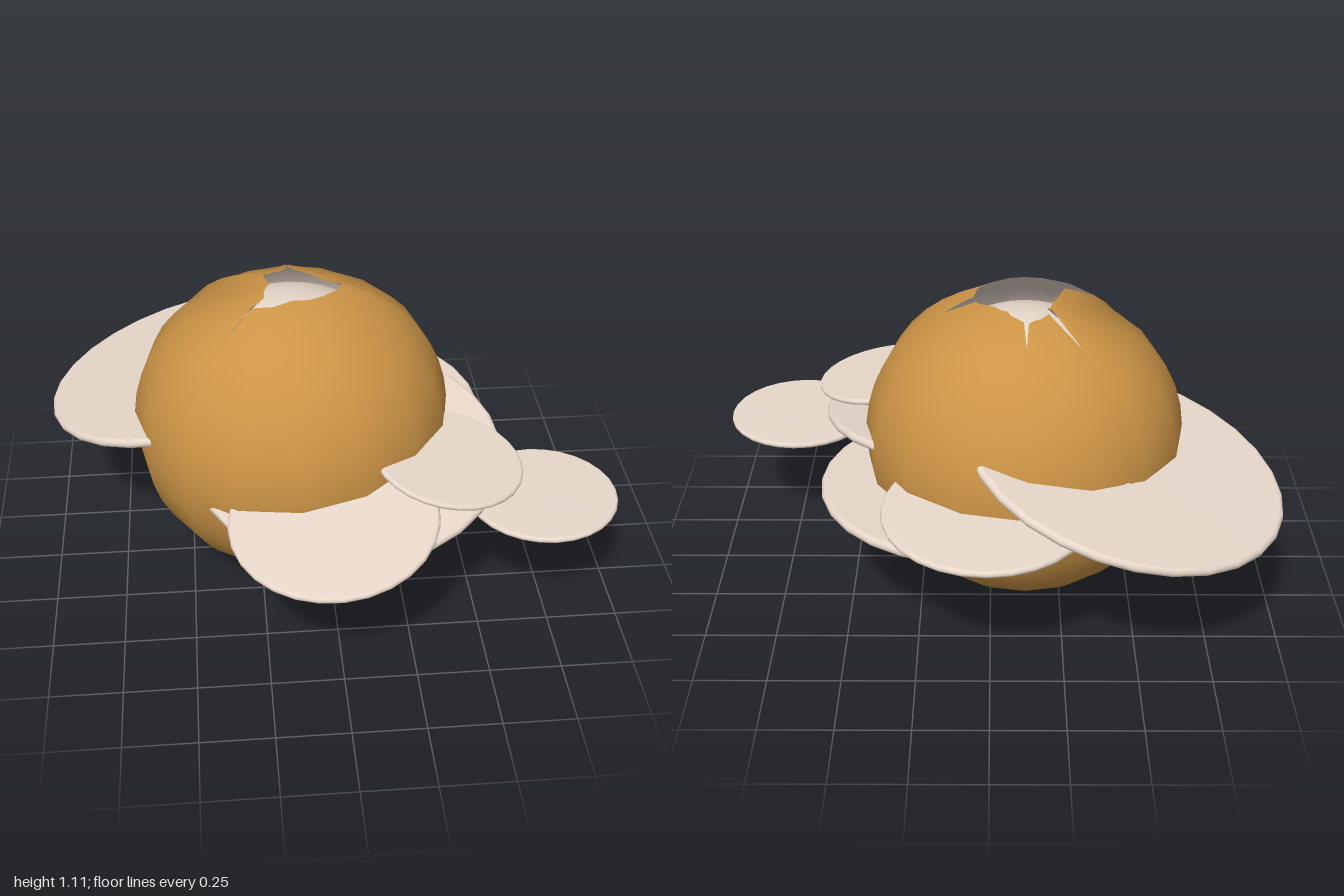
import * as THREE from 'three';

const CENTRE = [-0.12, 0.565, -0.05];
const RADIUS = 0.565;

// Torn rim of the opening: [angle in degrees, distance from the axis]; long distances are crack tips
const RIM = [
  [-10, 0.165], [-5, 0.18], [-2, 0.29], [1, 0.18], [16, 0.177], [40, 0.156], [90, 0.14],
  [131, 0.195], [134, 0.2], [137, 0.35], [140, 0.19], [146, 0.158], [163, 0.105], [212, 0.094],
  [228, 0.14], [231, 0.32], [234, 0.14], [258, 0.155], [267, 0.17], [270, 0.28], [273, 0.17],
  [282, 0.15], [305, 0.122], [337, 0.13], [350, 0.165],
];

// Flattened panels around the opening: [angle, half width, polar angle, spread, depth]
const DENTS = [
  [184, 42, 0.4, 0.36, 0.08],
  [84, 50, 0.6, 0.2, 0.05],
  [250, 25, 0.42, 0.36, 0.045],
  [310, 46, 0.42, 0.36, 0.045],
];

function rimDistance(deg) {
  const a = deg >= 350 ? deg - 360 : deg;
  const i = RIM.findIndex(([end], k) => k > 0 && a <= end);
  const [a0, r0] = RIM[i - 1], [a1, r1] = RIM[i];
  return r0 + ((r1 - r0) * (a - a0)) / (a1 - a0);
}

// Depth is even across a panel and fades quickly at its sides
function dentDepth(deg, phi) {
  const depths = DENTS.map(([angle, width, polar, spread, depth]) => {
    const d = Math.abs(((deg - angle + 540) % 360) - 180) / width;
    const e = (phi - polar) / spread;
    return depth * Math.exp(-(d ** 6) - e * e);
  });
  return Math.max(...depths);
}

// Sixteen-sided ball, open at the top along the torn rim
function shellGeometry() {
  const angles = new Set(RIM.map(([a]) => (a + 360) % 360));
  for (let i = 0; i < 16; i++) angles.add(i * 22.5);
  const columns = [...angles].sort((a, b) => a - b);
  const rows = 20, n = columns.length;
  const positions = [], normals = [], index = [];
  for (let j = 0; j <= rows; j++) {
    for (const deg of columns) {
      const start = Math.asin(rimDistance(deg) / RADIUS);
      const phi = start + (Math.PI - start) * (j / rows);
      const r = RADIUS - dentDepth(deg, phi);
      const theta = THREE.MathUtils.degToRad(deg);
      const facet = Math.cos(Math.PI / 16) / Math.cos((theta % (Math.PI / 8)) - Math.PI / 16);
      const ring = r * Math.sin(phi) * facet;
      positions.push(ring * Math.cos(theta), r * Math.cos(phi), ring * Math.sin(theta));
      normals.push(Math.sin(phi) * Math.cos(theta), Math.cos(phi), Math.sin(phi) * Math.sin(theta));
    }
  }
  for (let j = 0; j < rows; j++) {
    for (let i = 0; i < n; i++) {
      const a = j * n + i, b = j * n + ((i + 1) % n);
      index.push(a, b, a + n);
      if (j < rows - 1) index.push(b, b + n, a + n);
    }
  }
  const geometry = new THREE.BufferGeometry();
  geometry.setAttribute('position', new THREE.Float32BufferAttribute(positions, 3));
  geometry.setAttribute('normal', new THREE.Float32BufferAttribute(normals, 3));
  geometry.setIndex(index);
  return geometry;
}

// Thin round plate with a rounded edge
function discGeometry(radius, thickness) {
  const h = thickness / 2;
  const profile = [new THREE.Vector2(0, -h)];
  for (let i = 0; i <= 6; i++) {
    const a = -Math.PI / 2 + (Math.PI * i) / 6;
    profile.push(new THREE.Vector2(radius - h + h * Math.cos(a), h * Math.sin(a)));
  }
  profile.push(new THREE.Vector2(0, h));
  return new THREE.LatheGeometry(profile, 28);
}

// Plates: name, centre, radius, thickness, rise per unit of x and of z
const DISCS = [
  ['largeLeftDisc', [-0.46, 0.61, -0.345], 0.56, 0.036, 0.25, 0.1],
  ['backDisc', [0.01, 0.54, -0.535], 0.355, 0.026, 0, 0.05],
  ['smallFrontDisc', [0.39, 0.605, 0.34], 0.262, 0.022, -0.14, -0.06],
  ['frontDisc', [-0.02, 0.53, 0.54], 0.355, 0.026, 0.08, -0.17],
  ['largeFrontDisc', [0.06, 0.54, 0.17], 0.545, 0.034, 0.03, -0.15],
  ['largeRightDisc', [0.06, 0.455, -0.21], 0.535, 0.036, 0.01, -0.035],
  ['outerSmallDisc', [0.73, 0.433, 0.34], 0.265, 0.022, 0, 0],
];

export function createModel() {
  const model = new THREE.Group();
  const orange = new THREE.MeshStandardMaterial({ color: 0xcc9446 });
  const pale = new THREE.MeshStandardMaterial({ color: 0xe8d8cb });
  const lining = new THREE.MeshStandardMaterial({ color: 0xe8d8cb, side: THREE.BackSide });

  const add = (name, geometry, material, position) => {
    const mesh = new THREE.Mesh(geometry, material);
    mesh.name = name;
    mesh.position.set(...position);
    model.add(mesh);
    return mesh;
  };

  // Shell, its pale inside and the core under the cracks
  const shell = shellGeometry();
  add('crackedShell', shell, orange, CENTRE);
  add('shellLining', shell, lining, CENTRE);
  add('innerCore', new THREE.SphereGeometry(0.475, 24, 16), pale, CENTRE);

  const up = new THREE.Vector3(0, 1, 0);
  for (const [name, position, radius, thickness, riseX, riseZ] of DISCS) {
    const disc = add(name, discGeometry(radius, thickness), pale, position);
    disc.quaternion.setFromUnitVectors(up, new THREE.Vector3(-riseX, 1, -riseZ).normalize());
  }
  return model;
}
